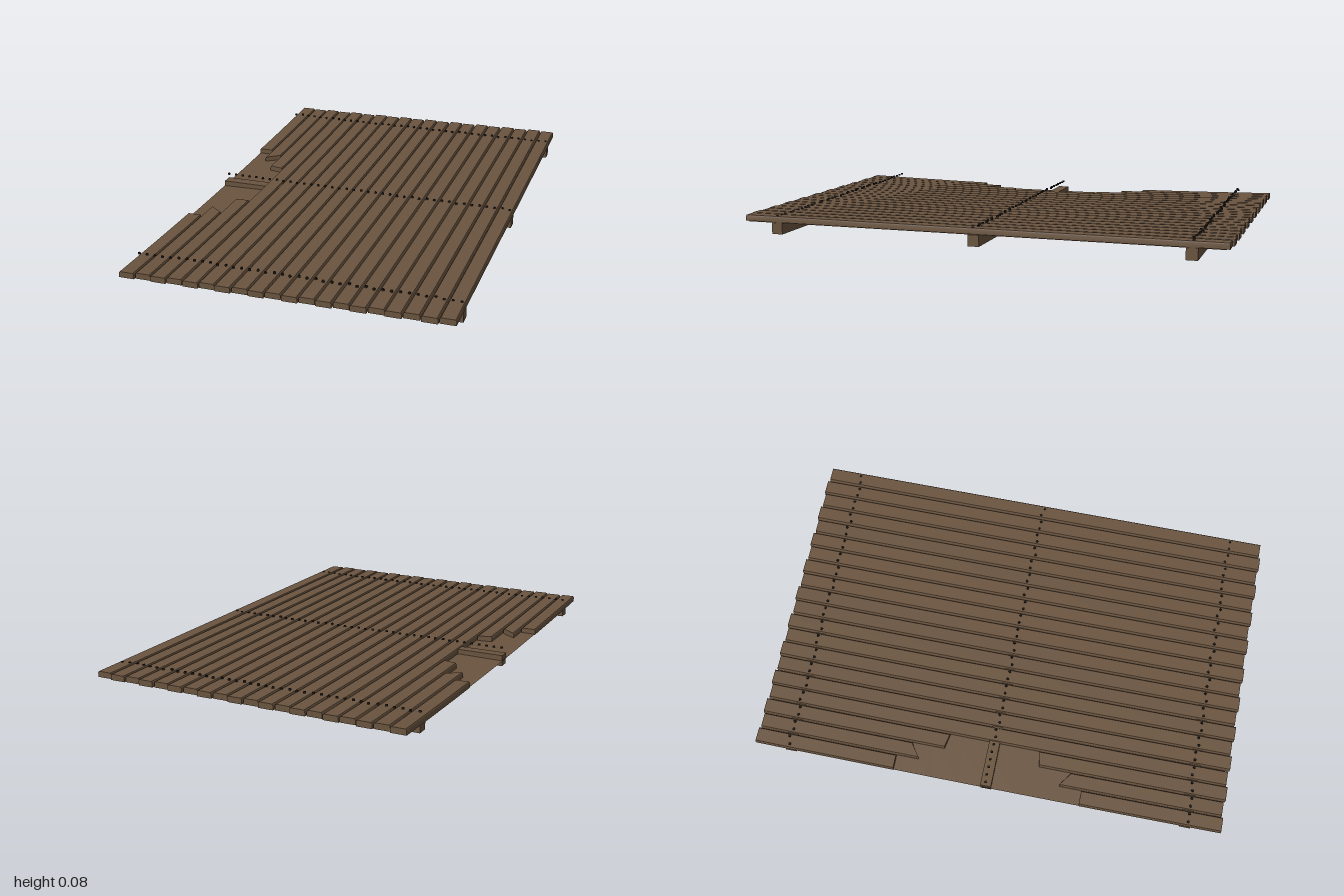
import * as THREE from 'three';

const wood = new THREE.MeshStandardMaterial({ color: 0x6a543f });
wood.name = 'brown wood';
const woodSheet = new THREE.MeshStandardMaterial({ color: 0x6a543f, side: THREE.DoubleSide });
woodSheet.name = 'brown backing wood';
const iron = new THREE.MeshStandardMaterial({ color: 0x1f1b17 });
iron.name = 'dark iron';

const COUNT = 20, HALF = 0.665, PITCH = (2 * HALF) / COUNT, THICK = 0.024;

// seeded jitter in -1..1
let seed = 7;
const jitter = () => {
  seed = (seed * 16807) % 2147483647;
  return (seed / 2147483647) * 2 - 1;
};

// underside height: lower and more sagged towards -x
const floorY = (x, z) =>
  0.0425 + 0.0112 * x - 0.015 * ((HALF - x) / (2 * HALF)) * (1 - z * z);

// bent plank with narrowed top; cut0 and cut1 slant the ends
function plank(xc, width, z0, z1, cut0 = 0, cut1 = 0, skew = 0) {
  const geo = new THREE.BoxGeometry(1, 1, 1, 1, 2, 12);
  const p = geo.attributes.position;
  for (let i = 0; i < p.count; i++) {
    const u = p.getX(i), v = p.getY(i) + 0.5, t = p.getZ(i) + 0.5;
    const z = z0 + (z1 - z0) * t + u * (cut0 * (1 - t) + cut1 * t);
    const w = width - (v > 0.9 ? 0.008 : 0);
    const h = v === 0.5 ? 0.75 : v;
    p.setXYZ(i, xc + u * w + skew * z, floorY(xc, z) + h * THICK, z);
  }
  geo.computeVertexNormals();
  return new THREE.Mesh(geo, wood);
}

export function createModel() {
  const group = new THREE.Group();
  const add = (mesh, name, parent = group) => {
    mesh.name = name;
    parent.add(mesh);
    return mesh;
  };

  // planks; the first three are snapped in the middle
  const planks = add(new THREE.Group(), 'planks');
  const breaks = [[0.4, 0], [0.325, 0.04], [0.2, -0.012]];
  for (let i = 0; i < COUNT; i++) {
    const x = -HALF + PITCH * (i + 0.5);
    const end = i % 2 ? 0.993 : 1;
    const width = PITCH - 0.004;
    if (i < breaks.length) {
      const [z, cut] = breaks[i];
      add(plank(x, width, -end, -z, 0, -cut), 'brokenPlankBack', planks);
      add(plank(x, width, z, end, cut, 0), 'brokenPlankFront', planks);
    } else {
      const skew = i === COUNT - 1 ? 0 : 0.0012 * jitter();
      add(plank(x, width, -end, end, 0, 0, skew), 'plank', planks);
    }
  }

  // thin backing that closes the gap and follows the sag
  const sheet = new THREE.PlaneGeometry(2 * HALF - 0.006, 1.96, 10, 16);
  sheet.rotateX(-Math.PI / 2);
  const sp = sheet.attributes.position;
  for (let i = 0; i < sp.count; i++) {
    const x = sp.getX(i);
    sp.setY(i, floorY(x, sp.getZ(i)) + 0.001 - 0.004 * (x + 0.2));
  }
  sheet.computeVertexNormals();
  add(new THREE.Mesh(sheet, woodSheet), 'backingSheet');

  // cross battens, each with a row of paired nails above it
  const battenGeo = new THREE.BoxGeometry(1.32, 1, 0.046);
  const nailGeo = new THREE.CylinderGeometry(0.005, 0.006, 0.007, 6);
  for (const z of [-0.853, 0, 0.853]) {
    const top = z === 0 ? 0.046 : 0.05;
    const batten = add(new THREE.Mesh(battenGeo, wood), 'batten');
    batten.scale.y = top;
    batten.position.set(0, top / 2, z);
    const nails = add(new THREE.Group(), 'nailRow');
    for (let i = 0; i < COUNT * 2; i++) {
      const nail = add(new THREE.Mesh(nailGeo, iron), 'nail', nails);
      nail.position.set(-HALF + PITCH * (i / 2 + 0.25), 0.0735, z + 0.007 * jitter());
    }
  }
  return group;
}
